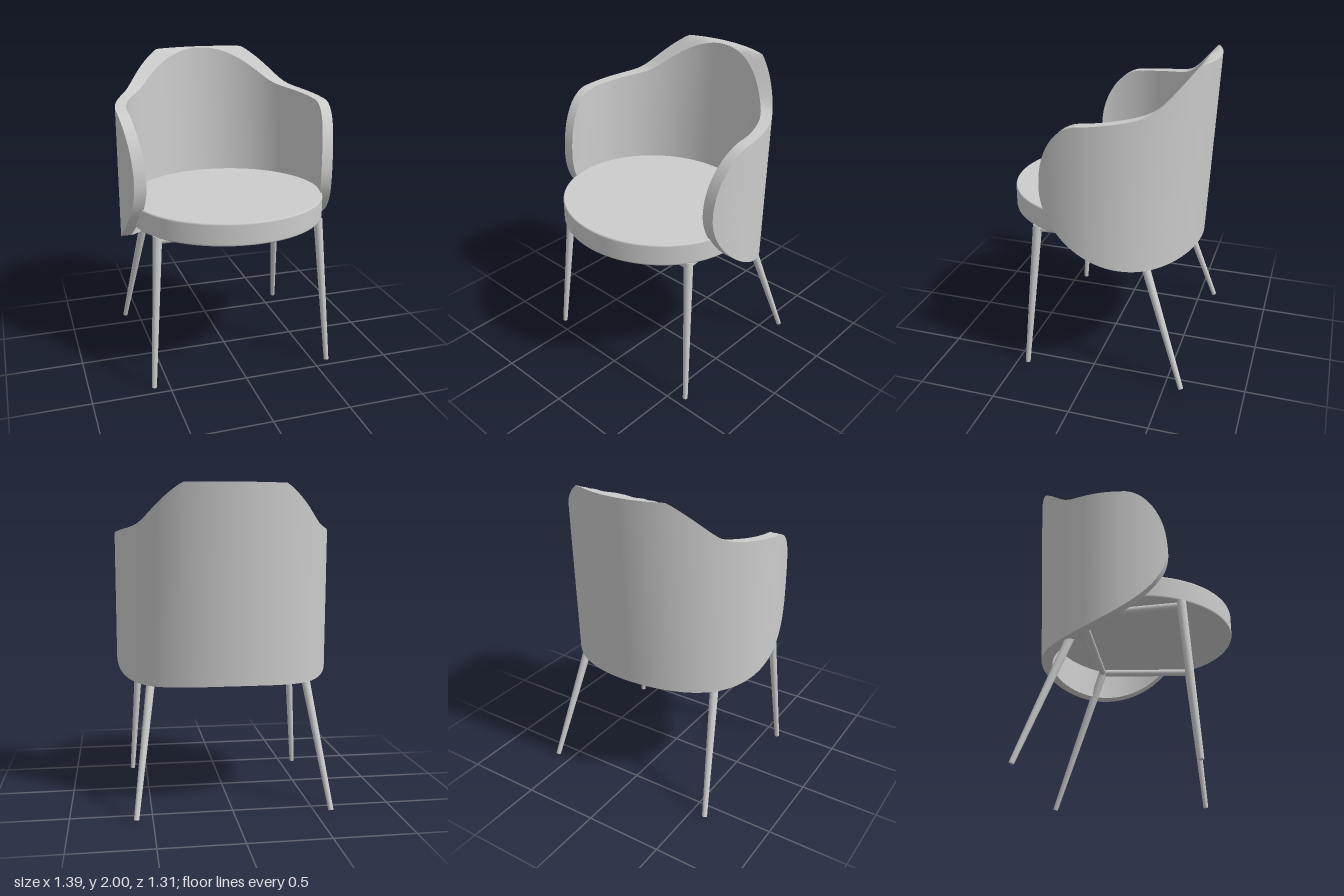
import * as THREE from 'three';

const fabric = new THREE.MeshStandardMaterial({ color: 0xcccccc });
fabric.name = 'light grey';

function add(group, name, geometry) {
  const mesh = new THREE.Mesh(geometry, fabric);
  mesh.name = name;
  group.add(mesh);
  return mesh;
}

// Smooth surface from a function of (u, v), both 0..1
function surface(fn, nu, nv, flip) {
  const pos = [], index = [];
  for (let i = 0; i <= nu; i++)
    for (let j = 0; j <= nv; j++) pos.push(...fn(i / nu, j / nv));
  for (let i = 0; i < nu; i++)
    for (let j = 0; j < nv; j++) {
      const a = i * (nv + 1) + j, b = a + nv + 1;
      if (flip) index.push(a, a + 1, b, b, a + 1, b + 1);
      else index.push(a, b, a + 1, b, b + 1, a + 1);
    }
  const g = new THREE.BufferGeometry();
  g.setAttribute('position', new THREE.Float32BufferAttribute(pos, 3));
  g.setIndex(index);
  g.computeVertexNormals();
  return g;
}

// Side outline of the backrest: arm front at z = 0.28, y = 1.3
const FRONT = 0.28, MID = 1.3, CENTRE = 0.03;
function topEdge(z) {
  if (z > 0) return MID + 0.41 * Math.sqrt(Math.max(0, 1 - (z / FRONT) ** 2));
  const q = -z - 0.385;
  const rise = 1.15 * (Math.sqrt(q * q + 0.0036) + q) / 2;
  return Math.min(2, 1.707 - 0.1 * z + rise);
}
function bottomEdge(z) {
  if (z < -0.4) return 0.785 + 0.6 * (z + 0.4) ** 2;
  const t = Math.min(1, (z + 0.4) / 0.68);
  return MID - 0.515 * Math.sqrt(Math.max(0, 1 - t ** 1.8));
}

// Point on the shell; inset moves it from the outer to the inner wall
function shellPoint(u, v, inset) {
  const rx = 0.695 - inset;
  const end = Math.acos(-(FRONT - CENTRE) / rx);
  const theta = end * Math.sin((u * 2 - 1) * Math.PI / 2);
  const c = Math.cos(theta);
  const zAt = y => CENTRE - c * (c > 0 ? 0.625 - inset + 0.05 * (y - 0.8) : rx);
  let top = 1.7, bottom = 0.8;
  for (let k = 0; k < 6; k++) {
    top = topEdge(zAt(top));
    bottom = bottomEdge(zAt(bottom));
  }
  const y = bottom + (top - bottom) * v;
  return [rx * Math.sin(theta), y, zAt(y)];
}

function createBackrest() {
  const g = new THREE.Group();
  g.name = 'backrest';
  const T = 0.07;
  add(g, 'outerWall', surface((u, v) => shellPoint(u, v, 0), 120, 12, true));
  add(g, 'innerWall', surface((u, v) => shellPoint(u, v, T), 120, 12, false));
  add(g, 'upperRim', surface((u, v) => shellPoint(u, 1, T * v), 120, 3, true));
  add(g, 'lowerRim', surface((u, v) => shellPoint(u, 0, T * v), 120, 3, false));
  return g;
}

// Tapered round bar between two points
function bar(group, name, from, to, r0, r1) {
  const a = new THREE.Vector3(...from), b = new THREE.Vector3(...to);
  const dir = b.clone().sub(a);
  const mesh = add(group, name, new THREE.CylinderGeometry(r1, r0, dir.length(), 20));
  mesh.position.copy(a).add(b).multiplyScalar(0.5);
  mesh.quaternion.setFromUnitVectors(new THREE.Vector3(0, 1, 0), dir.normalize());
}

export function createModel() {
  const model = new THREE.Group();
  model.name = 'armchair';
  model.add(createBackrest());

  // Round cushion with softened edges, slightly wider than deep
  const profile = [new THREE.Vector2(0, 0.992)];
  for (const [cy, start] of [[1.004, -90], [1.123, 0]])
    for (let i = 0; i <= 4; i++) {
      const a = THREE.MathUtils.degToRad(start + i * 22.5);
      profile.push(new THREE.Vector2(0.988 + 0.012 * Math.cos(a), cy + 0.012 * Math.sin(a)));
    }
  profile.push(new THREE.Vector2(0, 1.135));
  const cushion = new THREE.LatheGeometry(profile, 96);
  cushion.scale(0.63, 1, 0.59);
  add(model, 'seat', cushion).position.z = 0.065;

  // Splayed legs and the rails joining their tops
  for (const [s, side] of [[1, 'left'], [-1, 'right']]) {
    bar(model, side + 'FrontLeg', [s * 0.598, 0, 0.433], [s * 0.53, 0.995, 0.348], 0.016, 0.029);
    bar(model, side + 'BackLeg', [s * 0.6, 0.01, -0.608], [s * 0.465, 0.99, -0.265], 0.016, 0.03);
    bar(model, side + 'Rail', [s * 0.525, 0.968, 0.348], [s * 0.468, 0.968, -0.272], 0.023, 0.023);
  }
  bar(model, 'frontRail', [-0.53, 0.968, 0.348], [0.53, 0.968, 0.348], 0.023, 0.023);
  bar(model, 'backRail', [-0.468, 0.968, -0.272], [0.468, 0.968, -0.272], 0.023, 0.023);
  return model;
}
